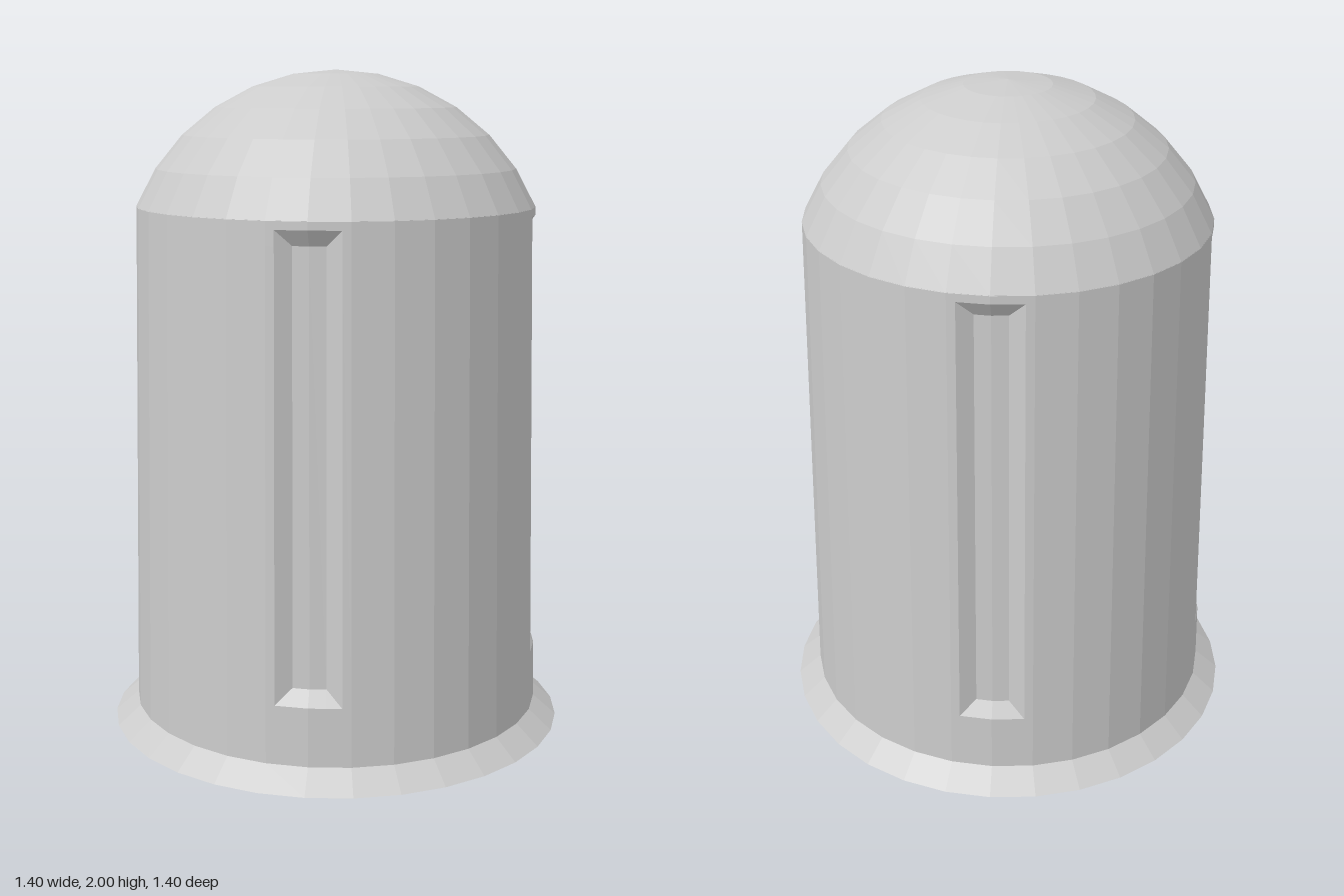
import * as THREE from 'three';

const SIDES = 32;
const WALL_BOTTOM = 0.06, WALL_TOP = 1.6;
const PANEL_DEPTH = 0.03;

const material = new THREE.MeshStandardMaterial({ color: 0xcccccc, flatShading: true });
const openMaterial = material.clone();
openMaterial.side = THREE.DoubleSide;

function lathe(name, profile, mat = material) {
  const points = profile.map(([r, y]) => new THREE.Vector2(r, y));
  const mesh = new THREE.Mesh(new THREE.LatheGeometry(points, SIDES), mat);
  mesh.name = name;
  return mesh;
}

// Point on the 32-sided outline; u counts sides, starting at the front
function outline(u, r, y) {
  const corner = (k) => {
    const a = (k / SIDES) * Math.PI * 2;
    return new THREE.Vector3(Math.sin(a) * r, y, Math.cos(a) * r);
  };
  const k = Math.floor(u);
  return corner(k).lerp(corner(k + 1), u - k);
}

// Tapered wall with a bevelled sunken panel on each of the four sides
function wallGeometry() {
  const columns = [-1, -0.79, -0.42, 0, 0.42, 0.79, 1, 2, 3, 4, 5, 6, 7];
  const rows = [WALL_BOTTOM, 0.235, 0.28, 1.53, 1.575, WALL_TOP];
  const depth = (i, j) => (i >= 2 && i <= 4 && (j === 2 || j === 3) ? PANEL_DEPTH : 0);
  const positions = [];
  for (let quarter = 0; quarter < 4; quarter++) {
    const point = (i, j) => {
      const t = (rows[j] - WALL_BOTTOM) / (WALL_TOP - WALL_BOTTOM);
      const r = THREE.MathUtils.lerp(0.63, 0.6, t) - depth(i, j);
      return outline(columns[i] + quarter * SIDES / 4, r, rows[j]);
    };
    for (let i = 0; i < columns.length - 1; i++) {
      for (let j = 0; j < rows.length - 1; j++) {
        const a = point(i, j), b = point(i + 1, j);
        const c = point(i + 1, j + 1), d = point(i, j + 1);
        // Split the panel corners along their mitre
        const alongAC = depth(i, j) !== depth(i + 1, j + 1);
        const corners = alongAC ? [a, b, c, a, c, d] : [a, b, d, b, c, d];
        corners.forEach((p) => positions.push(p.x, p.y, p.z));
      }
    }
  }
  const geometry = new THREE.BufferGeometry();
  geometry.setAttribute('position', new THREE.Float32BufferAttribute(positions, 3));
  geometry.computeVertexNormals();
  return geometry;
}

export function createModel() {
  const model = new THREE.Group();
  model.name = 'domedCapsule';

  const wall = new THREE.Mesh(wallGeometry(), material);
  wall.name = 'panelledWall';
  model.add(wall);

  // Dome: a slice of a sphere
  const dome = [];
  for (let k = 6; k >= 0; k--) {
    const a = (k * Math.PI) / 16;
    dome.push([0.65 * Math.sin(a), 1.35 + 0.65 * Math.cos(a)]);
  }
  model.add(lathe('dome', dome));

  // Flared foot, open underneath, and the raised floor inside it
  model.add(lathe('flaredSkirt', [[0.7, 0], [0.63, WALL_BOTTOM]], openMaterial));
  model.add(lathe('underside', [[0, 0.09], [0.585, 0.09], [0.63, WALL_BOTTOM]]));

  return model;
}
